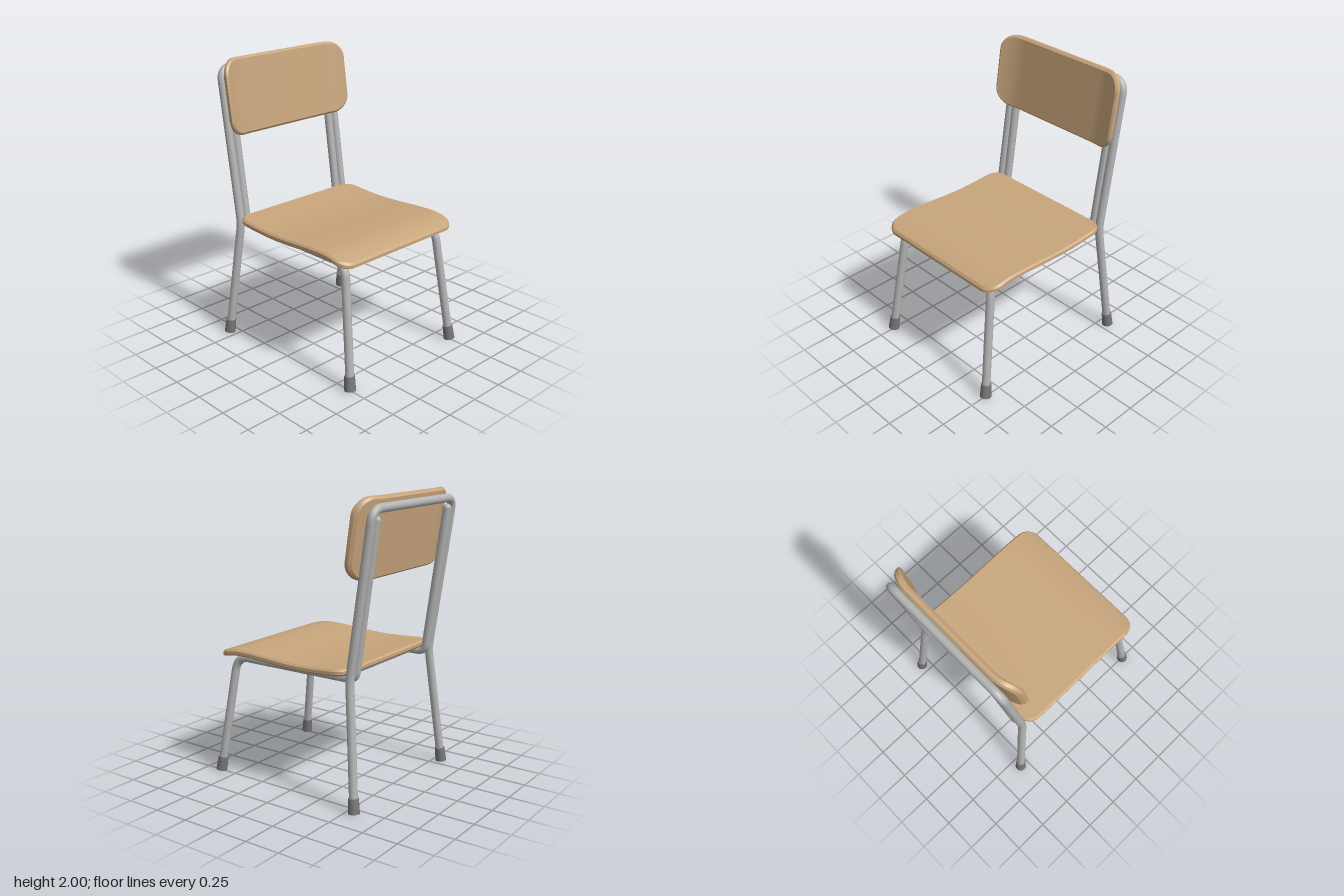
import * as THREE from 'three';
import { toCreasedNormals } from 'three/addons/utils/BufferGeometryUtils.js';

const V = (x, y, z) => new THREE.Vector3(x, y, z);
const TUBE_R = 0.029;

function material(name, color) {
  const m = new THREE.MeshStandardMaterial({ color });
  m.name = name;
  return m;
}

// Straight runs joined by rounded bends; bends[i] is the bend length at corner i + 1
function bentPath(points, bends) {
  const path = new THREE.CurvePath();
  let from = points[0];
  for (let i = 1; i < points.length - 1; i++) {
    const p = points[i], d = bends[i - 1];
    const a = p.clone().add(points[i - 1].clone().sub(p).setLength(d));
    const b = p.clone().add(points[i + 1].clone().sub(p).setLength(d));
    path.add(new THREE.LineCurve3(from, a));
    path.add(new THREE.QuadraticBezierCurve3(a, p, b));
    from = b;
  }
  path.add(new THREE.LineCurve3(from, points[points.length - 1]));
  return path;
}

// Bevelled board with rounded corners, bent along u by the rule place(u, w, t)
function boardGeometry(halfU, halfW, corner, thick, bevel, place) {
  const arc = 8, mid = 40;
  const outline = (inset) => {
    const r = corner - inset, side = [];
    for (let k = 0; k <= arc; k++) {
      const a = (k / arc) * Math.PI / 2;
      side.push([-(halfU - corner) - r * Math.cos(a), halfW - corner + r * Math.sin(a)]);
    }
    const ends = side.map(([u, w]) => [-u, w]).reverse();
    for (let k = 1; k < mid; k++) side.push([(halfU - corner) * (2 * k / mid - 1), halfW - inset]);
    side.push(...ends);
    return [...side.map(([u, w]) => [u, -w]), ...side.reverse()];
  };
  const h = thick / 2;
  const levels = [[bevel, -h], [0, -h + bevel], [0, h - bevel], [bevel, h]];
  const positions = [], index = [];
  let n = 0;
  for (const [inset, t] of levels) {
    const ring = outline(inset);
    n = ring.length;
    for (const [u, w] of ring) positions.push(...place(u, w, t));
  }
  const quad = (a, b, c, d) => index.push(a, b, c, a, c, d);
  // Edge bands
  for (let l = 0; l < 3; l++) {
    for (let i = 0; i < n; i++) {
      const j = (i + 1) % n;
      quad(l * n + i, l * n + j, (l + 1) * n + j, (l + 1) * n + i);
    }
  }
  // Two broad faces
  for (let i = 0; i < n / 2 - 1; i++) {
    const c = n - 2 - i, d = n - 1 - i, top = 3 * n;
    quad(top + i, top + i + 1, top + c, top + d);
    quad(d, c, i + 1, i);
  }
  const g = new THREE.BufferGeometry();
  g.setAttribute('position', new THREE.Float32BufferAttribute(positions, 3));
  g.setIndex(index);
  return toCreasedNormals(g, 0.5);
}

export function createModel() {
  const model = new THREE.Group();
  model.name = 'chair';
  const wood = material('wood', 0xc8a57c);
  const steel = material('steel', 0xb4b4b4);
  const rubber = material('rubber', 0x767676);

  const add = (name, geometry, mat, position) => {
    const mesh = new THREE.Mesh(geometry, mat);
    mesh.name = name;
    if (position) mesh.position.copy(position);
    model.add(mesh);
    return mesh;
  };

  // Seat: gently dished, with a rolled front edge
  add('seat', boardGeometry(0.53, 0.54, 0.1, 0.044, 0.012, (u, w, t) => {
    const z = u + 0.07;
    const front = Math.max(0, (z - 0.4) / 0.2);
    const y = 0.892 + 0.011 * Math.cos((z - 0.4) / 0.5 * Math.PI) - 0.034 * front * front;
    return [w, y + t, z];
  }), wood);

  // Backrest: flat in the middle, ends curled forward, leaning back
  const backrest = add('backrest', boardGeometry(0.54, 0.262, 0.12, 0.052, 0.014, (u, w, t) => {
    const curl = Math.max(0, (Math.abs(u) - 0.34) / 0.2);
    return [u, w, t + 0.055 * curl * curl];
  }), wood, V(0, 1.738, -0.552));
  backrest.rotation.x = -0.142;

  // Rear frame: both back legs and the top rail in one tube
  const half = [V(0.562, 0.03, -0.558), V(0.492, 0.86, -0.474), V(0.492, 1.93, -0.632)];
  const mirror = (p) => V(-p.x, p.y, p.z);
  const rear = bentPath([...half, ...half.map(mirror).reverse()], [0.06, 0.09, 0.09, 0.06]);
  add('rearFrame', new THREE.TubeGeometry(rear, 260, TUBE_R, 16), steel);

  // Rubber foot aligned to its leg
  const addFoot = (name, base, knee) => {
    const dir = knee.clone().sub(base).normalize();
    const foot = add(name, new THREE.CylinderGeometry(0.035, 0.039, 0.1, 24), rubber,
      base.clone().addScaledVector(dir, 0.05));
    foot.quaternion.setFromUnitVectors(V(0, 1, 0), dir);
  };

  for (const [side, s] of [['left', 1], ['right', -1]]) {
    // Side tube: front leg, seat rail and inner back upright
    const pts = [
      V(s * 0.5, 0.03, 0.622), V(s * 0.435, 0.846, 0.505),
      V(s * 0.435, 0.846, -0.478), V(s * 0.435, 1.86, -0.622),
    ];
    add(side + 'SideFrame', new THREE.TubeGeometry(bentPath(pts, [0.1, 0.06]), 200, TUBE_R, 16), steel);
    add(side + 'UprightTip', new THREE.SphereGeometry(TUBE_R, 16, 12), steel, pts[3]);
    addFoot(side + 'FrontFoot', V(s * 0.503, 0.007, 0.625), pts[1]);
    addFoot(side + 'BackFoot', V(s * 0.565, 0.006, -0.561), V(s * 0.492, 0.86, -0.474));
  }

  // Cross bars under the seat
  for (const [name, z] of [['frontCrossBar', 0.34], ['rearCrossBar', -0.36]]) {
    const bar = add(name, new THREE.CylinderGeometry(0.018, 0.018, 0.86, 16), steel, V(0, 0.844, z));
    bar.rotation.z = Math.PI / 2;
  }
  return model;
}
